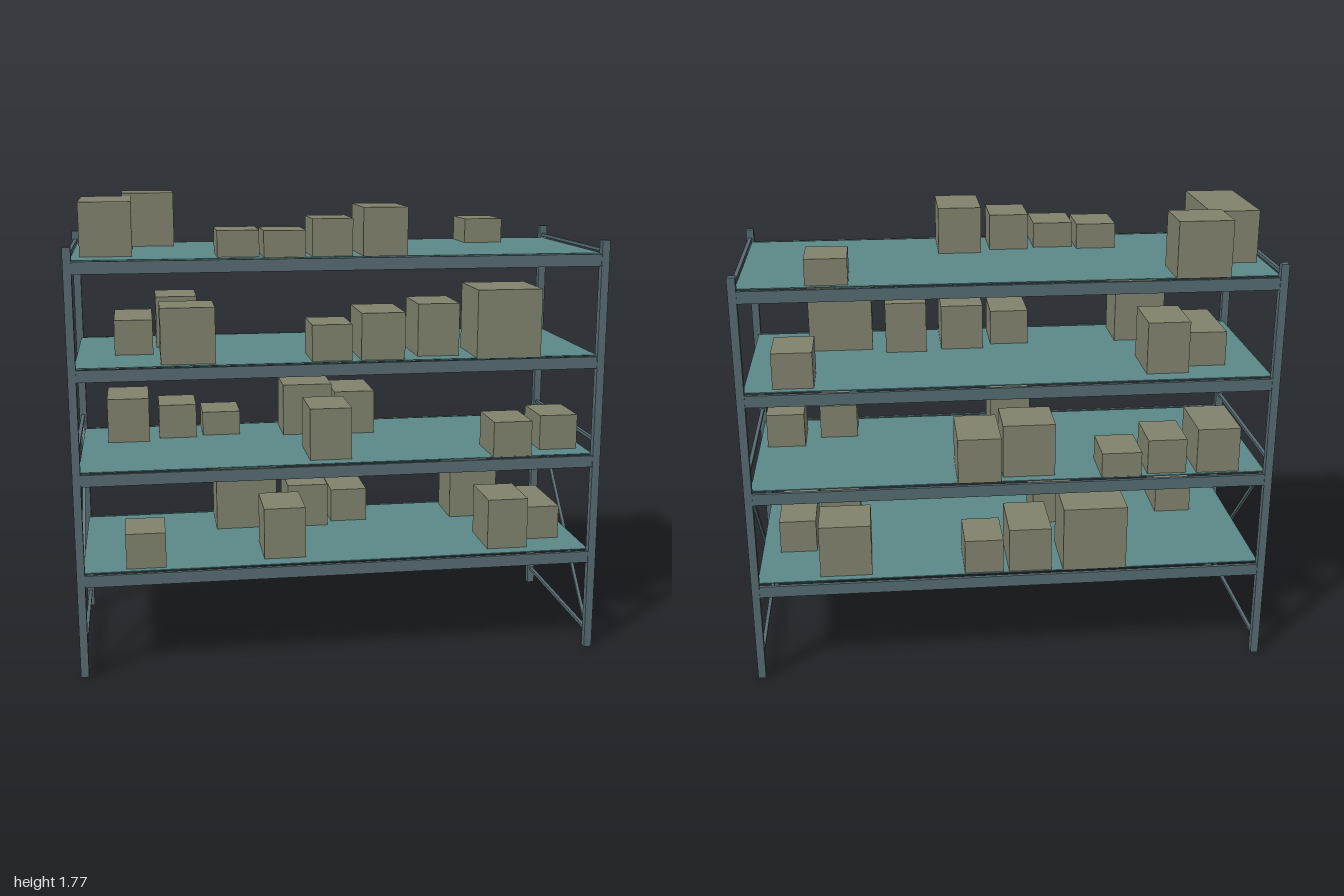
import * as THREE from 'three';

const material = (name, color) => {
  const m = new THREE.MeshStandardMaterial({ color });
  m.name = name;
  return m;
};

// Carton sizes: width, height, depth
const cartons = {
  low: [0.153, 0.096, 0.19],
  small: [0.15, 0.136, 0.202],
  long: [0.145, 0.133, 0.31],
  tall: [0.16, 0.199, 0.225],
  deep: [0.165, 0.176, 0.254],
  cube: [0.2, 0.208, 0.196],
  large: [0.248, 0.256, 0.25],
  crate: [0.189, 0.197, 0.4],
};

// Cartons on each level, lowest first: size, centre x, centre z
const levels = [
  [['small', -0.743, 0.232], ['large', -0.325, -0.235], ['tall', -0.213, 0.182], ['deep', -0.073, -0.226],
    ['small', 0.107, -0.25], ['cube', 0.64, -0.23], ['tall', 0.666, 0.192], ['long', 0.833, 0.051]],
  [['deep', -0.795, -0.22], ['small', -0.598, -0.24], ['low', -0.42, -0.262], ['cube', -0.069, -0.222],
    ['tall', -0.036, 0.191], ['deep', 0.123, -0.238], ['small', 0.66, 0.256], ['small', 0.869, 0.171]],
  [['long', -0.763, -0.058], ['tall', -0.595, -0.177], ['cube', -0.567, 0.233], ['small', -0.037, 0.238],
    ['deep', 0.155, 0.215], ['tall', 0.377, 0.177], ['large', 0.633, 0.235], ['small', 0.799, -0.227]],
  [['crate', -0.852, 0.04], ['cube', -0.693, -0.272], ['low', -0.378, 0.222], ['low', -0.212, 0.256],
    ['small', -0.036, 0.24], ['deep', 0.159, 0.22], ['low', 0.66, -0.245]],
];

// Box mesh standing on height y
function block(parent, name, mat, [w, h, d], x, y, z) {
  const mesh = new THREE.Mesh(new THREE.BoxGeometry(w, h, d), mat);
  mesh.position.set(x, y + h / 2, z);
  mesh.name = name;
  parent.add(mesh);
  return mesh;
}

export function createModel() {
  const steel = material('slate steel', 0x566b71);
  const teal = material('teal shelf', 0x5c8989);
  const card = material('olive card', 0x80826d);
  const model = new THREE.Group();
  model.name = 'storageRack';

  // End frames: two posts, three crossbars and a diagonal brace
  for (const side of [-1, 1]) {
    const frame = new THREE.Group();
    frame.name = side > 0 ? 'leftEndFrame' : 'rightEndFrame';
    model.add(frame);
    const x = side * 0.985;
    for (const z of [-0.375, 0.375]) {
      block(frame, 'post', steel, [0.03, 1.61, 0.03], x, 0, z);
    }
    for (const y of [0.059, 0.835, 1.566]) {
      block(frame, 'crossbar', steel, [0.014, 0.012, 0.724], x, y, 0);
    }
    const rise = 0.75, run = 0.73;
    const brace = block(frame, 'diagonalBrace', steel, [0.012, 0.012, Math.hypot(rise, run)], x, 0.439, 0);
    brace.rotation.x = Math.atan2(rise, run);
  }

  // Shelf levels: front and back beams, thin deck, cartons
  levels.forEach((goods, i) => {
    const y = 0.4 + 0.387 * i;
    const level = new THREE.Group();
    level.name = `shelfLevel${i + 1}`;
    model.add(level);
    for (const z of [-0.38, 0.38]) {
      block(level, 'beam', steel, [1.94, 0.045, 0.014], 0, y - 0.047, z);
    }
    block(level, 'deck', teal, [1.956, 0.004, 0.716], 0, y - 0.004, 0);
    for (const [size, x, z] of goods) {
      block(level, 'carton', card, cartons[size], x, y, z);
    }
  });

  return model;
}
